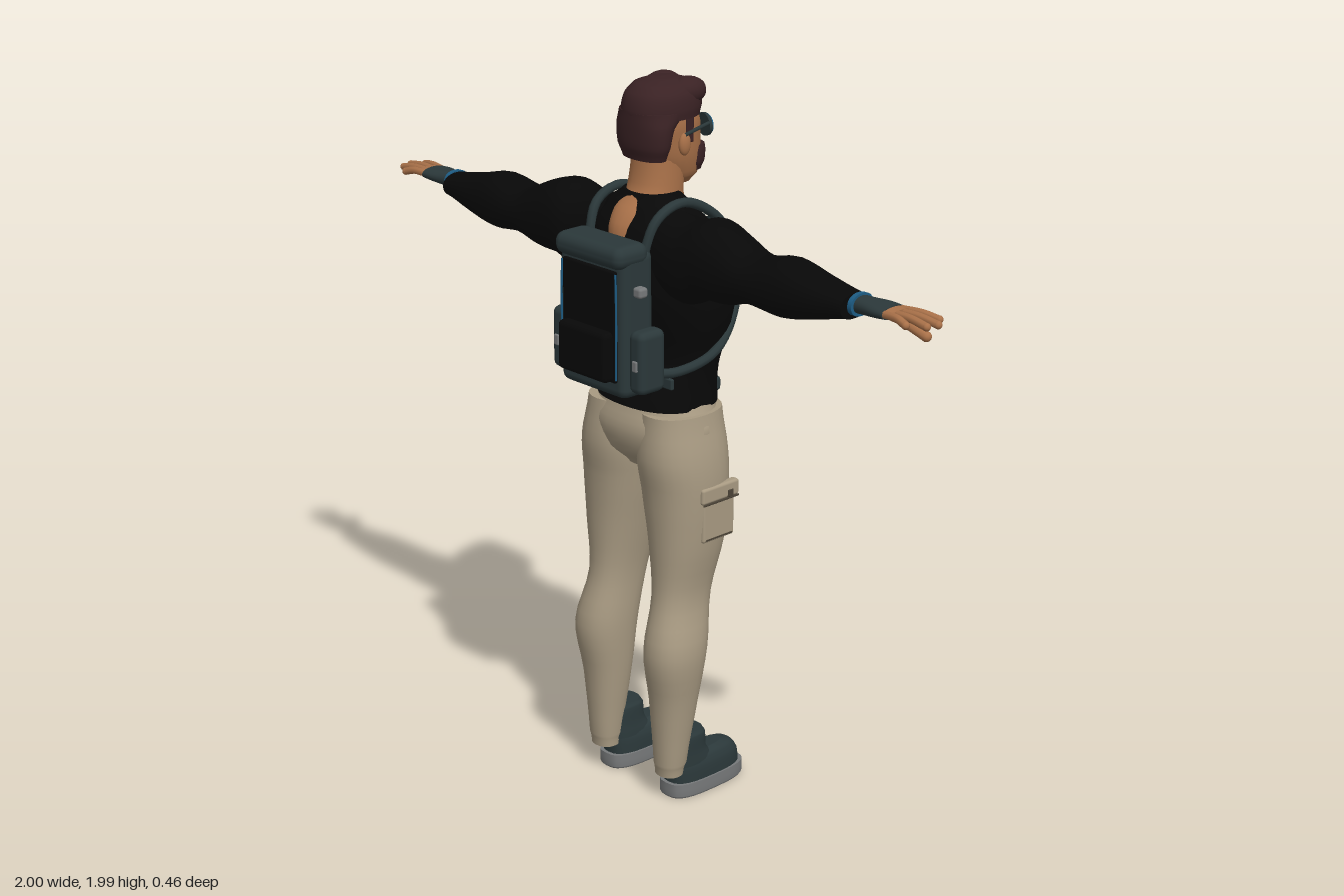
import * as THREE from 'three';
import { RoundedBoxGeometry } from 'three/addons/geometries/RoundedBoxGeometry.js';

const mat = (name, color) => {
  const m = new THREE.MeshStandardMaterial({ color });
  m.name = name;
  return m;
};

// Smooth interpolation between b and c
const spline = (a, b, c, d, f) => 0.5 * (2 * b + (c - a) * f + (2 * a - 5 * b + 4 * c - d) * f ** 2
  + (3 * b - a - 3 * c + d) * f ** 3);

// Smooth loft through rows [t, u0, u1, v0, v1]; t rises along y, or along x for limbs
function loft(rows, { axis = 'y', power = 2.2, steps = 4, sides = 28 } = {}) {
  const rings = [];
  for (let i = 0; i < rows.length - 1; i++) {
    const [a, b, c, d] = [rows[Math.max(i - 1, 0)], rows[i], rows[i + 1], rows[Math.min(i + 2, rows.length - 1)]];
    const last = i === rows.length - 2 ? steps : steps - 1;
    for (let s = 0; s <= last; s++) {
      const f = s / steps;
      rings.push(b.map((p, k) => (k === 0 ? p + (c[0] - p) * f : spline(a[k], p, c[k], d[k], f))));
    }
  }
  const pos = [], index = [];
  const put = (t, u, v) => (axis === 'y' ? pos.push(u, t, v) : pos.push(t, v, u));
  const ring = ([t, u0, u1, v0, v1]) => {
    for (let j = 0; j < sides; j++) {
      const q = j / sides * Math.PI * 2, c = Math.cos(q), s = Math.sin(q);
      put(t, (u0 + u1) / 2 + (u1 - u0) / 2 * Math.sign(c) * Math.abs(c) ** (2 / power),
        (v0 + v1) / 2 + (v1 - v0) / 2 * Math.sign(s) * Math.abs(s) ** (2 / power));
    }
  };
  rings.forEach(ring);
  for (let i = 0; i < rings.length - 1; i++) for (let j = 0; j < sides; j++) {
    const k = (j + 1) % sides, a = i * sides + j, b = i * sides + k;
    index.push(a, a + sides, b, b, a + sides, b + sides);
  }
  // flat end caps
  [rings[0], rings[rings.length - 1]].forEach((r, top) => {
    const base = pos.length / 3;
    ring(r);
    put(r[0], (r[1] + r[2]) / 2, (r[3] + r[4]) / 2);
    for (let j = 0; j < sides; j++) {
      const k = (j + 1) % sides;
      index.push(base + sides, base + (top ? k : j), base + (top ? j : k));
    }
  });
  const g = new THREE.BufferGeometry();
  g.setAttribute('position', new THREE.Float32BufferAttribute(pos, 3));
  g.setIndex(index);
  g.computeVertexNormals();
  return g;
}

// Loft that is symmetric about x = 0: rows [y, halfWidth, z0, z1]
const body = (rows, opt) => loft(rows.map(([y, w, a, b]) => [y, -w, w, a, b]), opt);
const box = (w, h, d, x, y, z, r = 0.01) => new RoundedBoxGeometry(w, h, d, 2, r).translate(x, y, z);
const tube = (pts, r, seg = 24) =>
  new THREE.TubeGeometry(new THREE.CatmullRomCurve3(pts.map(p => new THREE.Vector3(...p))), seg, r, 8);
const ball = (x, y, z, sx, sy, sz) => new THREE.SphereGeometry(1, 16, 12).scale(sx, sy, sz).translate(x, y, z);

function mirrored(geo) {
  const g = geo.index ? geo.toNonIndexed() : geo.clone();
  g.scale(-1, 1, 1);
  for (const a of Object.values(g.attributes)) {
    for (let i = 0; i < a.count; i += 3) for (let k = 0; k < a.itemSize; k++) {
      const p = a.getComponent(i + 1, k);
      a.setComponent(i + 1, k, a.getComponent(i + 2, k));
      a.setComponent(i + 2, k, p);
    }
  }
  return g;
}

export function createModel() {
  const root = new THREE.Group();
  const black = mat('jacket black', 0x080808), slate = mat('slate gear', 0x2b383a);
  const khaki = mat('khaki cloth', 0xa89a82), skin = mat('skin', 0xa97149);
  const hairM = mat('hair brown', 0x3a2224), blue = mat('blue trim', 0x1d5c84);
  const grey = mat('sole grey', 0x77797a), seam = mat('seam brown', 0x4a4236);
  const add = (name, geo, material) => {
    const m = new THREE.Mesh(geo, material);
    m.name = name;
    root.add(m);
  };
  const pair = (name, geo, material) => {
    add(name + 'Left', geo, material);
    add(name + 'Right', mirrored(geo), material);
  };

  // Head, neck and face
  add('neck', body([[1.57, 0.07, -0.17, 0.116], [1.62, 0.072, -0.15, 0.112], [1.66, 0.072, -0.115, 0.088],
    [1.7, 0.07, -0.105, 0.042], [1.79, 0.068, -0.11, 0.025]]), skin);
  add('head', body([[1.705, 0.035, -0.145, -0.05], [1.73, 0.06, -0.16, -0.02], [1.78, 0.075, -0.165, 0.02],
    [1.83, 0.08, -0.164, 0.04], [1.88, 0.083, -0.158, 0.045], [1.93, 0.072, -0.13, 0.03], [1.96, 0.04, -0.1, 0]]), skin);
  add('nose', loft([[1.805, -0.016, 0.016, -0.188, -0.14], [1.82, -0.015, 0.015, -0.186, -0.14],
    [1.865, -0.007, 0.007, -0.168, -0.14]]), skin);
  pair('ear', ball(0.085, 1.825, -0.055, 0.012, 0.03, 0.019), skin);
  add('beard', body([[1.738, 0.056, -0.168, -0.085], [1.76, 0.066, -0.174, -0.08],
    [1.79, 0.069, -0.174, -0.085], [1.806, 0.066, -0.171, -0.095]]), hairM);
  add('hairTop', body([[1.89, 0.09, -0.155, 0.054], [1.915, 0.092, -0.162, 0.055], [1.95, 0.086, -0.158, 0.045],
    [1.975, 0.066, -0.135, 0.02], [1.986, 0.035, -0.1, -0.02], [1.988, 0.004, -0.07, -0.05]]), hairM);
  add('hairBack', body([[1.785, 0.07, -0.03, 0.042], [1.82, 0.085, -0.036, 0.052], [1.87, 0.091, -0.05, 0.055],
    [1.91, 0.09, -0.1, 0.055]]), hairM);
  pair('hairWave', ball(0.045, 1.95, -0.1, 0.042, 0.038, 0.058), hairM);
  pair('sideburn', box(0.014, 0.08, 0.026, 0.08, 1.865, -0.075, 0.005), hairM);

  // Sunglasses
  const disc = (r, z) => new THREE.CylinderGeometry(r, r, 0.008, 24).rotateX(Math.PI / 2)
    .scale(1.15, 0.88, 1).rotateY(-0.3).translate(0.04, 1.85, z);
  pair('lensFrame', disc(0.034, -0.17), slate);
  pair('lens', disc(0.03, -0.176), blue);
  pair('glassesArm', tube([[0.07, 1.86, -0.155], [0.086, 1.858, -0.1], [0.09, 1.85, -0.05]], 0.005), slate);
  add('glassesBridge', box(0.03, 0.008, 0.008, 0, 1.86, -0.18, 0.002), slate);

  // Jacket torso with the shirt showing between its open edges
  const torso = [[1.13, 0.17, -0.172, 0.09], [1.2, 0.17, -0.165, 0.065], [1.27, 0.18, -0.17, 0.047],
    [1.38, 0.213, -0.195, 0.085], [1.46, 0.22, -0.2, 0.11], [1.55, 0.205, -0.183, 0.112],
    [1.62, 0.165, -0.14, 0.1], [1.67, 0.115, -0.1, 0.07], [1.7, 0.075, -0.08, 0.045]];
  add('jacketBody', body(torso, { power: 2.4, sides: 40 }), black);
  add('shirt', body(torso.slice(0, 7).map(([y, , z], i) => [y, 0.035 + i * 0.007, z - 0.006, z + 0.03]), { power: 5 }), slate);
  add('collar', body([[1.605, 0.078, -0.162, 0.02], [1.63, 0.076, -0.146, 0.02]]), black);
  pair('zipEdge', tube(torso.slice(0, 7).map(([y, , z], i) => [0.036 + i * 0.007, y, z - 0.007]), 0.007), slate);
  add('jacketHem', box(0.2, 0.04, 0.03, 0, 1.15, -0.168), slate);
  pair('hemTab', box(0.05, 0.03, 0.012, 0.14, 1.22, 0.06, 0.004), slate);

  // Sleeves
  pair('sleeve', loft([[0.08, -0.07, 0.09, 1.46, 1.67], [0.2, -0.09, 0.11, 1.44, 1.662], [0.27, -0.085, 0.11, 1.468, 1.68],
    [0.35, -0.07, 0.105, 1.475, 1.657], [0.43, -0.065, 0.1, 1.497, 1.622], [0.54, -0.06, 0.095, 1.487, 1.64],
    [0.64, -0.05, 0.083, 1.506, 1.618], [0.75, -0.035, 0.066, 1.533, 1.598]], { axis: 'x' }), black);

  // Gloved hands with bare fingers
  pair('glove', loft([[0.73, -0.022, 0.04, 1.548, 1.595], [0.78, -0.024, 0.04, 1.55, 1.594],
    [0.83, -0.04, 0.046, 1.553, 1.592], [0.865, -0.038, 0.047, 1.557, 1.59]], { axis: 'x' }), slate);
  pair('wristBand', loft([[0.755, -0.03, 0.048, 1.542, 1.6], [0.768, -0.03, 0.048, 1.542, 1.6]], { axis: 'x' }), blue);
  pair('knuckles', loft([[0.86, -0.034, 0.044, 1.56, 1.588], [0.89, -0.034, 0.044, 1.562, 1.586]], { axis: 'x' }), skin);
  [[-0.026, 0.965, -0.046], [-0.006, 0.99, -0.014], [0.015, 0.982, 0.018], [0.035, 0.94, 0.045]].forEach(([z, x, tz], i) => {
    pair('finger' + (i + 1), tube([[0.865, 1.575, z], [(x + 0.88) / 2, 1.576, (z + tz) / 2], [x, 1.568, tz]], 0.0105, 10), skin);
    pair('fingertip' + (i + 1), ball(x, 1.568, tz, 0.0105, 0.0105, 0.0105), skin);
  });
  pair('thumb', tube([[0.79, 1.56, -0.015], [0.835, 1.535, -0.055], [0.9, 1.502, -0.078]], 0.0135, 12), skin);
  pair('thumbTip', ball(0.9, 1.502, -0.078, 0.0135, 0.0135, 0.0135), skin);

  // Trousers
  add('trouserSeat', body([[0.95, 0.08, -0.11, 0.04], [1.0, 0.17, -0.15, 0.085], [1.07, 0.2, -0.162, 0.1],
    [1.145, 0.168, -0.163, 0.08]]), khaki);
  pair('trouserLeg', loft([[0.075, 0.09, 0.168, 0, 0.07], [0.11, 0.086, 0.174, -0.012, 0.076], [0.3, 0.07, 0.195, -0.045, 0.09],
    [0.45, 0.062, 0.213, -0.07, 0.112], [0.6, 0.06, 0.189, -0.1, 0.076], [0.75, 0.036, 0.21, -0.14, 0.076],
    [0.9, 0.01, 0.22, -0.154, 0.085], [1.0, 0.001, 0.214, -0.158, 0.097], [1.12, 0.01, 0.19, -0.15, 0.085]]), khaki);
  pair('cargoPocket', box(0.022, 0.15, 0.115, 0.208, 0.845, -0.06, 0.008), khaki);
  pair('pocketFlap', box(0.026, 0.045, 0.135, 0.212, 0.905, -0.062, 0.008), khaki);
  pair('flapSeam', box(0.005, 0.006, 0.13, 0.224, 0.882, -0.062, 0.002), seam);
  pair('pocketSeam', box(0.005, 0.006, 0.1, 0.217, 0.778, -0.06, 0.002), seam);
  pair('flapButton', box(0.006, 0.02, 0.02, 0.225, 0.895, -0.095, 0.002), seam);

  // Boots
  pair('bootSole', loft([[0, 0.067, 0.178, -0.225, 0.036], [0.006, 0.064, 0.181, -0.23, 0.04],
    [0.042, 0.064, 0.181, -0.23, 0.04]], { power: 3, steps: 2 }), grey);
  pair('bootUpper', loft([[0.04, 0.069, 0.176, -0.218, 0.03], [0.08, 0.071, 0.174, -0.213, 0.03],
    [0.105, 0.08, 0.165, -0.195, 0.028], [0.116, 0.098, 0.148, -0.16, 0.01]], { power: 2.8 }), slate);
  pair('bootAnkle', loft([[0.09, 0.076, 0.17, -0.115, 0.032], [0.13, 0.08, 0.168, -0.09, 0.03],
    [0.175, 0.082, 0.168, -0.085, 0.026], [0.19, 0.09, 0.16, -0.076, 0.016]], { power: 2.8 }), slate);

  // Backpack
  add('packBody', box(0.25, 0.39, 0.11, 0, 1.39, 0.14, 0.025), slate);
  add('packLid', box(0.255, 0.062, 0.115, 0, 1.575, 0.158, 0.028), slate);
  add('packPanel', box(0.2, 0.3, 0.014, 0, 1.39, 0.197, 0.006), black);
  add('packPocket', box(0.185, 0.135, 0.045, 0, 1.31, 0.21, 0.015), black);
  pair('packTrim', tube([[0.101, 1.535, 0.202], [0.104, 1.45, 0.203], [0.102, 1.25, 0.202]], 0.003), blue);
  pair('sidePocket', box(0.055, 0.17, 0.09, 0.147, 1.3, 0.135, 0.02), slate);
  pair('sideBuckle', box(0.03, 0.028, 0.03, 0.138, 1.485, 0.15, 0.008), grey);
  pair('pocketBuckle', box(0.018, 0.03, 0.01, 0.15, 1.295, 0.18, 0.004), grey);
  pair('shoulderStrap', tube([[0.1, 1.55, 0.11], [0.115, 1.655, 0.07], [0.12, 1.685, -0.02], [0.125, 1.61, -0.15],
    [0.14, 1.5, -0.19], [0.17, 1.38, -0.155], [0.195, 1.29, -0.06], [0.16, 1.25, 0.04], [0.12, 1.25, 0.1]], 0.013, 48), slate);

  // Blue dashes across the upper chest
  for (let i = 0; i < 4; i++) {
    pair('chestDash' + (i + 1), box(0.02, 0.006, 0.02, 0.1 + i * 0.03, 1.6 - i * 0.004, -0.14 + i * 0.018, 0.002), blue);
  }
  return root;
}
